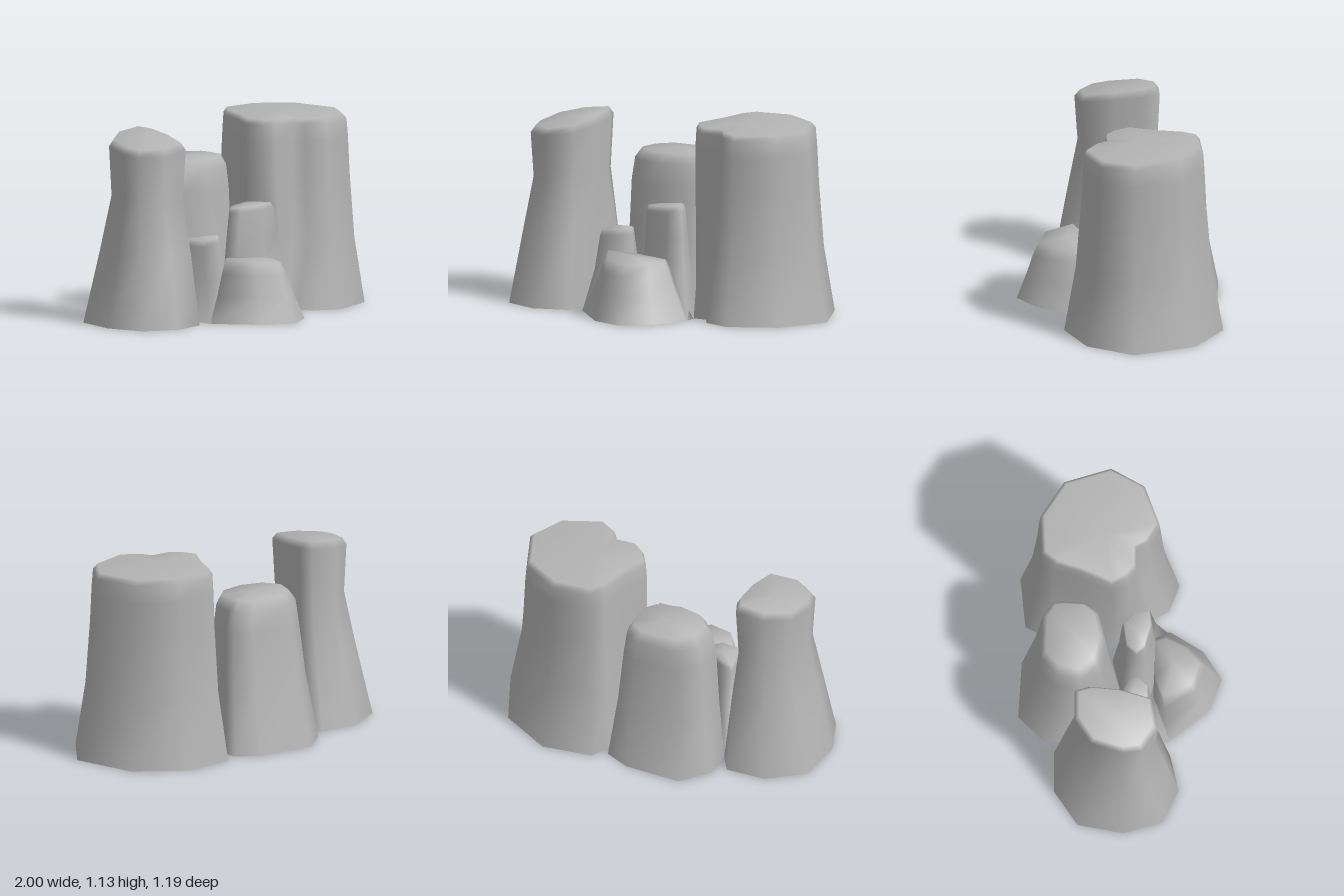
import * as THREE from 'three';

const rock = new THREE.MeshStandardMaterial({ color: 0xb4b4b4, side: THREE.DoubleSide });
rock.name = 'grey rock';

// Lofts a hollow rock column from a foot outline to a top outline of [x, z] corners.
// levels: [height, blend from foot to top, scale about the top centre]; tilt: [slope in x, slope in z].
function column(name, foot, top, levels, tilt = [0, 0], dome = 0.01) {
  const n = foot.length;
  const cx = top.reduce((s, p) => s + p[0], 0) / n;
  const cz = top.reduce((s, p) => s + p[1], 0) / n;
  const height = levels[levels.length - 1][0];
  const pos = [], index = [];
  for (const [y, t, scale = 1] of levels) {
    const lean = Math.pow(y / height, 4);
    for (let i = 0; i < n; i++) {
      const x = cx + (THREE.MathUtils.lerp(foot[i][0], top[i][0], t) - cx) * scale;
      const z = cz + (THREE.MathUtils.lerp(foot[i][1], top[i][1], t) - cz) * scale;
      pos.push(x, y + lean * ((x - cx) * tilt[0] + (z - cz) * tilt[1]), z);
    }
  }
  for (let k = 0; k < levels.length - 1; k++) {
    for (let i = 0; i < n; i++) {
      const j = (i + 1) % n, a = k * n, b = a + n;
      index.push(a + j, a + i, b + i, a + j, b + i, b + j);
    }
  }
  // Top cap
  const last = (levels.length - 1) * n, centre = pos.length / 3;
  pos.push(cx, height + dome, cz);
  for (let i = 0; i < n; i++) index.push(centre, last + (i + 1) % n, last + i);

  const geo = new THREE.BufferGeometry();
  geo.setAttribute('position', new THREE.Float32BufferAttribute(pos, 3));
  geo.setIndex(index);
  geo.computeVertexNormals();
  const mesh = new THREE.Mesh(geo, rock);
  mesh.name = name;
  return mesh;
}

export function createModel() {
  const group = new THREE.Group();
  group.name = 'rockFormation';

  // Tall waisted column on the right-hand side of the model
  group.add(column('waistedColumn',
    [[-0.95, -0.25], [-0.74, -0.39], [-0.5, -0.39], [-0.44, -0.28], [-0.46, -0.02], [-0.52, 0.29], [-0.73, 0.34], [-0.93, 0.25], [-1, 0.02]],
    [[-0.82, -0.17], [-0.68, -0.27], [-0.51, -0.27], [-0.48, -0.18], [-0.49, 0], [-0.54, 0.19], [-0.72, 0.22], [-0.85, 0.13], [-0.87, 0.02]],
    [[0.01, 0], [0.44, 0.65], [0.76, 1, 0.93], [1.05, 1], [1.09, 1, 0.88]], [0.12, -0.12], 0.005));

  // Widest and tallest column, notched at its front inner corner
  group.add(column('wideColumn',
    [[0.21, -0.43], [0.28, -0.56], [0.58, -0.59], [0.87, -0.41], [1, -0.05], [0.83, 0.22], [0.54, 0.34], [0.38, 0.28], [0.33, 0.19], [0.25, 0.19], [0.23, 0.1], [0.15, -0.04], [0.19, -0.25]],
    [[0.27, -0.39], [0.33, -0.47], [0.57, -0.48], [0.79, -0.34], [0.88, -0.06], [0.77, 0.14], [0.53, 0.23], [0.42, 0.16], [0.38, 0.09], [0.25, 0.09], [0.19, 0.04], [0.14, -0.05], [0.22, -0.23]],
    [[0.01, 0], [0.4, 0.62], [0.78, 0.9], [1, 1], [1.1, 1, 0.98], [1.13, 1, 0.92]], [0, -0.03]));

  // Medium column at the back
  group.add(column('backColumn',
    [[-0.43, -0.45], [-0.28, -0.6], [0.06, -0.58], [0.2, -0.51], [0.21, -0.43], [0.17, -0.2], [0.07, -0.06], [-0.13, 0], [-0.34, -0.11], [-0.44, -0.28]],
    [[-0.34, -0.38], [-0.23, -0.48], [0.05, -0.47], [0.14, -0.41], [0.15, -0.35], [0.14, -0.2], [0.07, -0.12], [-0.11, -0.08], [-0.28, -0.12], [-0.37, -0.23]],
    [[0.01, 0], [0.4, 0.65], [0.72, 1], [0.85, 1, 0.93], [0.91, 1, 0.78]]));

  // Two slim spires in the middle
  group.add(column('shortSpire',
    [[-0.45, -0.27], [-0.33, -0.1], [-0.14, 0], [-0.14, 0.15], [-0.2, 0.21], [-0.43, 0.29]],
    [[-0.39, -0.03], [-0.3, 0], [-0.21, 0.05], [-0.2, 0.1], [-0.25, 0.16], [-0.38, 0.16]],
    [[0.01, 0], [0.25, 0.7], [0.45, 1], [0.485, 1, 0.92]], [0.1, 0], 0.005));
  group.add(column('tallSpire',
    [[-0.15, 0.03], [-0.13, 0], [0.07, -0.05], [0.17, -0.02], [0.25, 0.27], [0.05, 0.22], [-0.16, 0.17]],
    [[-0.11, 0.09], [-0.06, 0.03], [0.08, 0.01], [0.13, 0.06], [0.16, 0.17], [0.07, 0.18], [-0.07, 0.14]],
    [[0.01, 0], [0.32, 0.65], [0.48, 0.9, 1.05], [0.62, 1], [0.65, 1, 0.9]], [0.08, 0], 0.003));

  // Low boulder at the front
  group.add(column('frontBoulder',
    [[-0.15, 0.19], [0.25, 0.2], [0.25, 0.29], [0.13, 0.48], [-0.04, 0.59], [-0.23, 0.52], [-0.43, 0.28]],
    [[-0.15, 0.2], [0.07, 0.2], [0.09, 0.26], [0.04, 0.37], [-0.06, 0.46], [-0.2, 0.41], [-0.28, 0.25]],
    [[0.01, 0], [0.16, 0.45], [0.28, 0.75], [0.355, 1]], [-0.1, -0.06], 0.015));

  return group;
}
